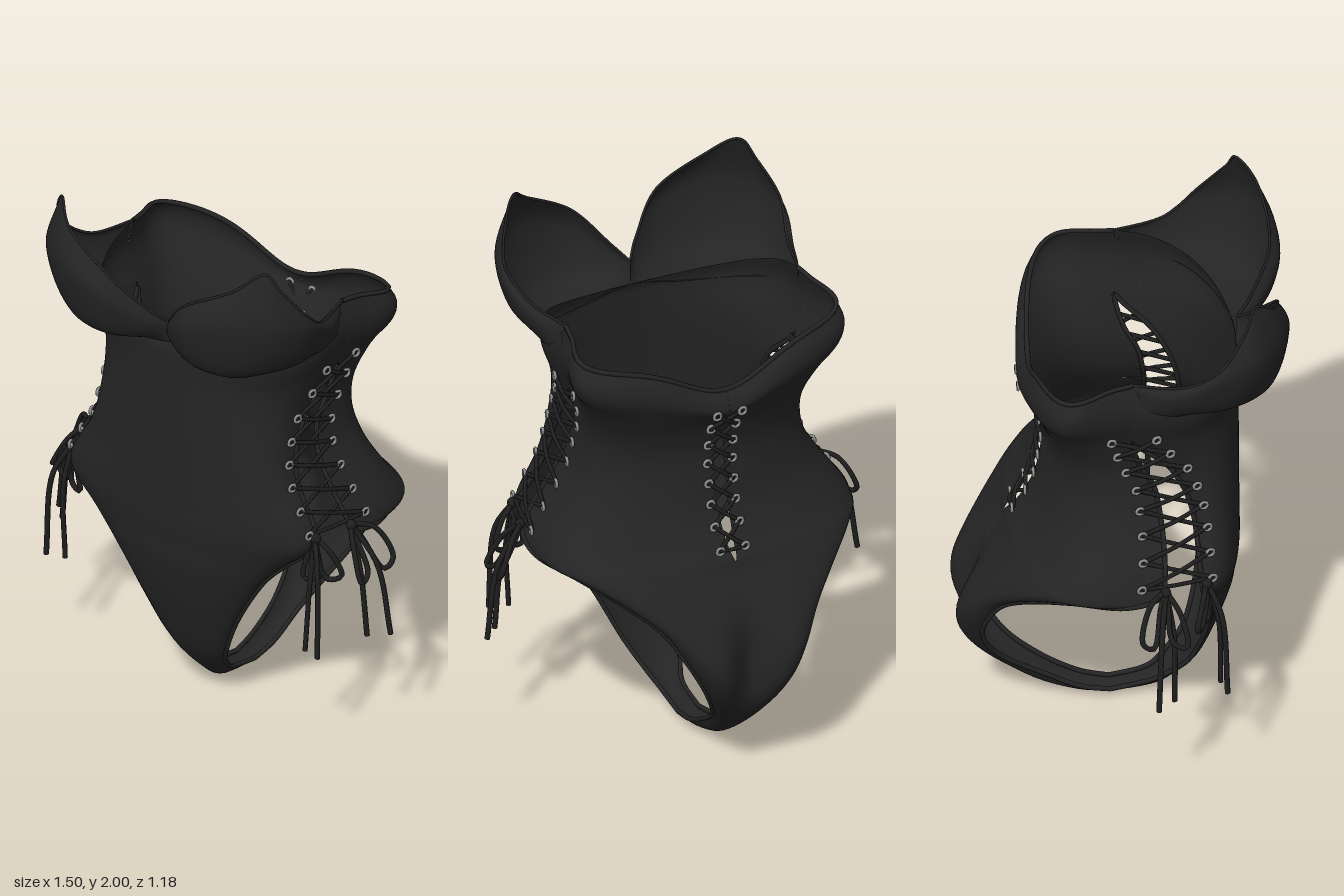
import * as THREE from 'three';

const V = (x, y, z) => new THREE.Vector3(x, y, z);
const fabric = new THREE.MeshStandardMaterial({ color: 0x242424, side: THREE.DoubleSide });
fabric.name = 'black fabric';
const cord = new THREE.MeshStandardMaterial({ color: 0x1e1e1e });
cord.name = 'black cord';
const metal = new THREE.MeshStandardMaterial({ color: 0x929292 });
metal.name = 'grey metal';

// Cross-sections: centre y, centre z, edge x, edge y, edge z, arc angle, cleft depth
const FRONT = [
  [0.002, -0.03, 0.042, 0.03, -0.03, 1, 0], [0.025, 0.12, 0.045, 0.06, 0.1, 1, 0], [0.08, 0.2, 0.07, 0.11, 0.17, 1, 0],
  [0.2, 0.29, 0.12, 0.21, 0.25, 1, 0], [0.4, 0.36, 0.21, 0.4, 0.3, 1, 0], [0.6, 0.41, 0.33, 0.6, 0.315, 1.1, 0],
  [0.7, 0.42, 0.42, 0.7, 0.3, 1.2, 0], [0.8, 0.43, 0.53, 0.8, 0.27, 1.3, 0], [0.88, 0.43, 0.525, 0.88, 0.26, 1.4, 0],
  [1.0, 0.43, 0.455, 1.0, 0.25, 1.45, 0], [1.1, 0.43, 0.42, 1.1, 0.235, 1.5, 0], [1.2, 0.43, 0.41, 1.2, 0.2, 1.5, 0],
  [1.3, 0.43, 0.415, 1.3, 0.14, 1.5, 0], [1.4, 0.43, 0.447, 1.42, 0.022, 1.57, 0], [1.47, 0.43, 0.48, 1.52, 0.02, 1.57, 0],
  [1.51, 0.43, 0.487, 1.6, 0.02, 1.57, 0], [1.54, 0.42, 0.465, 1.69, 0.02, 1.57, 0],
];
const BACK = [
  [0.002, -0.03, 0.042, 0.03, -0.03, 1, 0], [0.018, -0.15, 0.048, 0.055, -0.14, 1, 0], [0.075, -0.3, 0.055, 0.125, -0.27, 1, 0],
  [0.2, -0.48, 0.085, 0.21, -0.4, 1, 0.02], [0.3, -0.58, 0.13, 0.3, -0.475, 1, 0.06], [0.4, -0.635, 0.18, 0.4, -0.5, 1, 0.11],
  [0.5, -0.625, 0.24, 0.51, -0.48, 1.1, 0.11], [0.6, -0.565, 0.31, 0.62, -0.43, 1.2, 0.06], [0.7, -0.49, 0.415, 0.71, -0.34, 1.3, 0.02],
  [0.78, -0.43, 0.53, 0.78, -0.2, 1.4, 0.01], [0.83, -0.4, 0.6, 0.8, -0.02, 1.57, 0], [0.87, -0.365, 0.59, 0.83, 0.11, 1.75, 0],
  [0.92, -0.335, 0.555, 0.9, 0.13, 1.75, 0], [1.0, -0.3, 0.49, 1.0, 0.13, 1.75, 0], [1.1, -0.28, 0.435, 1.1, 0.12, 1.75, 0],
  [1.2, -0.27, 0.415, 1.2, 0.1, 1.75, 0], [1.3, -0.29, 0.42, 1.3, 0.05, 1.7, 0], [1.42, -0.335, 0.447, 1.42, 0.018, 1.8, 0],
  [1.5, -0.36, 0.48, 1.52, 0.02, 1.95, 0], [1.57, -0.35, 0.487, 1.6, 0.02, 2, 0], [1.61, -0.32, 0.465, 1.69, 0.02, 2, 0],
];

// Catmull-Rom through an array of number rows
function spline(rows, t) {
  const n = rows.length, i = Math.min(Math.floor(t), n - 2), f = t - i;
  const [a, b, c, d] = [-1, 0, 1, 2].map(k => rows[Math.max(0, Math.min(n - 1, i + k))]);
  return b.map((p, k) => p + 0.5 * f * (c[k] - a[k]
    + f * (2 * a[k] - 5 * p + 4 * c[k] - d[k] + f * (3 * (p - c[k]) + d[k] - a[k]))));
}

// Point on a panel: t along the cross-sections, u from the centre (0) to an edge (+-1)
function panel(rows, t, u, back) {
  const [yc, zc, ex, ey, ez, A, cleft] = spline(rows, t);
  const a = u * A, f = Math.max(0, (Math.cos(a) - Math.cos(A)) / (1 - Math.cos(A)));
  const top = back ? THREE.MathUtils.smoothstep(yc, 1.3, 1.61) : 0;
  const k = f ** (0.6 - 0.12 * top);
  let x = ex * Math.sin(a) / Math.sin(A);
  const z = ez + (zc - ez) * k + cleft * Math.exp(-((x / 0.1) ** 2));
  let y = ey + (yc - ey) * k ** 1.4;
  if (back) {
    // top edge dips at the centre, with a narrow slit under the lacing
    y -= 0.13 * top * Math.exp(-((x / 0.22) ** 2));
    if (y > 0.82 && y < 1.3) {
      const g = 0.022 * Math.sqrt(Math.sin(Math.PI * (y - 0.82) / 0.48));
      x += Math.sign(u) * g * Math.max(0, 1 - Math.abs(x) / 0.2);
    }
  }
  return V(x, y, z);
}
const front = (t, u) => panel(FRONT, t, u, false);
const backHalf = s => (t, u) => panel(BACK, t, s * Math.max(u, 1e-4), true);

// Panel point at a given height
function atHeight(f, n, y, u) {
  let lo = 0, hi = n - 1;
  for (let i = 0; i < 30; i++) {
    const m = (lo + hi) / 2;
    if (f(m, u).y < y) lo = m; else hi = m;
  }
  return f(lo, u);
}

function gridGeometry(f, nt, nu, flip) {
  const pos = [], idx = [];
  for (let i = 0; i <= nt; i++) for (let j = 0; j <= nu; j++) pos.push(...f(i / nt, j / nu).toArray());
  for (let i = 0; i < nt; i++) for (let j = 0; j < nu; j++) {
    const a = i * (nu + 1) + j, b = a + 1, c = a + nu + 1, d = c + 1;
    idx.push(...(flip ? [a, d, b, a, c, d] : [a, b, d, a, d, c]));
  }
  const g = new THREE.BufferGeometry();
  g.setAttribute('position', new THREE.Float32BufferAttribute(pos, 3));
  g.setIndex(idx);
  g.computeVertexNormals();
  return g;
}

// Bust cup control curves, from under the bust up to the neckline
const CUP = [
  [[0, 1.54, 0.42], [0.08, 1.527, 0.42], [0.19, 1.51, 0.405], [0.31, 1.51, 0.37], [0.4, 1.525, 0.31], [0.455, 1.545, 0.24], [0.487, 1.56, 0.16], [0.492, 1.59, 0.08], [0.465, 1.66, 0.02]],
  [[0, 1.585, 0.425], [0.07, 1.58, 0.49], [0.19, 1.57, 0.54], [0.33, 1.57, 0.525], [0.44, 1.595, 0.465], [0.515, 1.61, 0.36], [0.538, 1.64, 0.25], [0.517, 1.655, 0.13], [0.465, 1.67, 0.02]],
  [[0, 1.61, 0.425], [0.055, 1.65, 0.51], [0.18, 1.735, 0.592], [0.35, 1.79, 0.58], [0.47, 1.8, 0.515], [0.54, 1.78, 0.43], [0.565, 1.74, 0.3], [0.52, 1.685, 0.17], [0.465, 1.68, 0.02]],
  [[0, 1.63, 0.425], [0.05, 1.685, 0.48], [0.17, 1.818, 0.555], [0.36, 1.93, 0.53], [0.45, 2.0, 0.458], [0.5, 1.925, 0.42], [0.55, 1.8, 0.33], [0.513, 1.705, 0.2], [0.465, 1.69, 0.02]],
];
const cup = s => (t, u) => {
  const [x, y, z] = spline(CUP.map(r => spline(r, u * 8)), t * 3);
  return V(s * x, y, z);
};

export function createModel() {
  const model = new THREE.Group();
  const add = (name, geo, mat, parent = model) => {
    const m = new THREE.Mesh(geo, mat);
    m.name = name;
    parent.add(m);
    return m;
  };
  const tube = (name, pts, r, mat, parent, seg = pts.length * 4) =>
    add(name, new THREE.TubeGeometry(new THREE.CatmullRomCurve3(pts), seg, r, 6), mat, parent);
  const sample = (f, n) => Array.from({ length: n + 1 }, (_, i) => f(i / n));
  const nF = FRONT.length, nB = BACK.length;

  // Crossed cord and eyelets between two edges
  function lacing(name, edgeA, edgeB, y0, y1, count, out) {
    const g = new THREE.Group();
    g.name = name;
    model.add(g);
    const lift = out.clone().normalize().multiplyScalar(0.008);
    const ys = sample(t => y0 + (y1 - y0) * t, count);
    const A = ys.map(y => edgeA(y).add(lift)), B = ys.map(y => edgeB(y).add(lift));
    for (let i = 0; i <= count; i++) {
      for (const p of [A[i], B[i]]) {
        const ring = add('eyelet', new THREE.TorusGeometry(0.014, 0.006, 5, 12), metal, g);
        ring.position.copy(p).addScaledVector(lift, 0.5);
        ring.lookAt(ring.position.clone().add(out));
      }
      if (i === count) break;
      for (const [p, q, h] of [[A[i], B[i + 1], 0.3], [B[i], A[i + 1], 1.5]]) {
        const mid = p.clone().lerp(q, 0.5).addScaledVector(lift, h);
        tube('lace', [p, mid, q], 0.008, cord, g, 6);
      }
    }
    tube('bottomLace', [A[0], A[0].clone().lerp(B[0], 0.5).add(lift), B[0]], 0.008, cord, g, 6);
  }

  // Front body
  add('frontPanel', gridGeometry((t, u) => front(t * (nF - 1), u * 2 - 1), 64, 48, false), fabric);

  for (const s of [1, -1]) {
    const side = s > 0 ? 'left' : 'right';
    const back = backHalf(s);
    add(side + 'BackPanel', gridGeometry((t, u) => back(t * (nB - 1), u), 80, 32, s > 0), fabric);
    add(side + 'Cup', gridGeometry(cup(s), 24, 48, s < 0), fabric);

    // Hems along the openings
    tube(side + 'FrontHem', sample(t => front(t * 13, s), 48), 0.009, fabric);
    tube(side + 'BackHem', sample(t => back(t * 17, 1), 60), 0.009, fabric);
    tube(side + 'TopHem', sample(t => back(nB - 1, t), 24), 0.009, fabric);
    tube(side + 'Neckline', sample(t => cup(s)(1, t), 48), 0.005, fabric);

    // Side lacing
    lacing(side + 'SideLacing', y => atHeight(front, nF, y, s * 0.95), y => atHeight(back, nB, y, 0.96),
      0.87, 1.44, 7, V(s, 0, 0.25));

    // Bows: two loops and two hanging ends at each lower corner
    const bow = new THREE.Group();
    bow.name = side + 'Bows';
    model.add(bow);
    const P = (x, y, z) => V(s * x, y, z);
    const ends = [
      [[0.54, 0.86, 0.28], [0.55, 0.7, 0.32], [0.535, 0.41, 0.33]],
      [[0.54, 0.86, 0.28], [0.59, 0.74, 0.33], [0.605, 0.41, 0.35]],
      [[0.585, 0.86, 0.13], [0.65, 0.7, 0.155], [0.68, 0.44, 0.155]],
      [[0.585, 0.86, 0.13], [0.69, 0.72, 0.11], [0.74, 0.44, 0.095]],
    ];
    ends.forEach(e => tube('cordEnd', e.map(p => P(...p)), 0.01, cord, bow, 14));
    const loops = [
      [[0.54, 0.86, 0.28], [0.51, 0.76, 0.29], [0.5, 0.68, 0.29], [0.55, 0.69, 0.27], [0.545, 0.8, 0.27]],
      [[0.54, 0.86, 0.28], [0.6, 0.8, 0.26], [0.63, 0.71, 0.24], [0.58, 0.69, 0.26], [0.55, 0.79, 0.28]],
      [[0.585, 0.86, 0.13], [0.64, 0.79, 0.18], [0.69, 0.68, 0.2], [0.68, 0.7, 0.15], [0.61, 0.82, 0.135]],
      [[0.585, 0.86, 0.13], [0.65, 0.84, 0.07], [0.71, 0.72, 0.04], [0.7, 0.69, 0.08], [0.62, 0.81, 0.11]],
    ];
    loops.forEach(l => tube('cordLoop', [...l, l[0]].map(p => P(...p)), 0.01, cord, bow, 28));
    for (const p of [[0.545, 0.855, 0.28], [0.59, 0.855, 0.13]]) {
      add('knot', new THREE.SphereGeometry(0.02, 10, 8), cord, bow).position.copy(P(...p));
    }
  }

  // Back lacing
  const backEdge = s => y => atHeight(backHalf(s), nB, y, 0.09).setX(s * 0.05);
  lacing('backLacing', backEdge(1), backEdge(-1), 0.86, 1.4, 7, V(0, 0, -1));

  return model;
}
